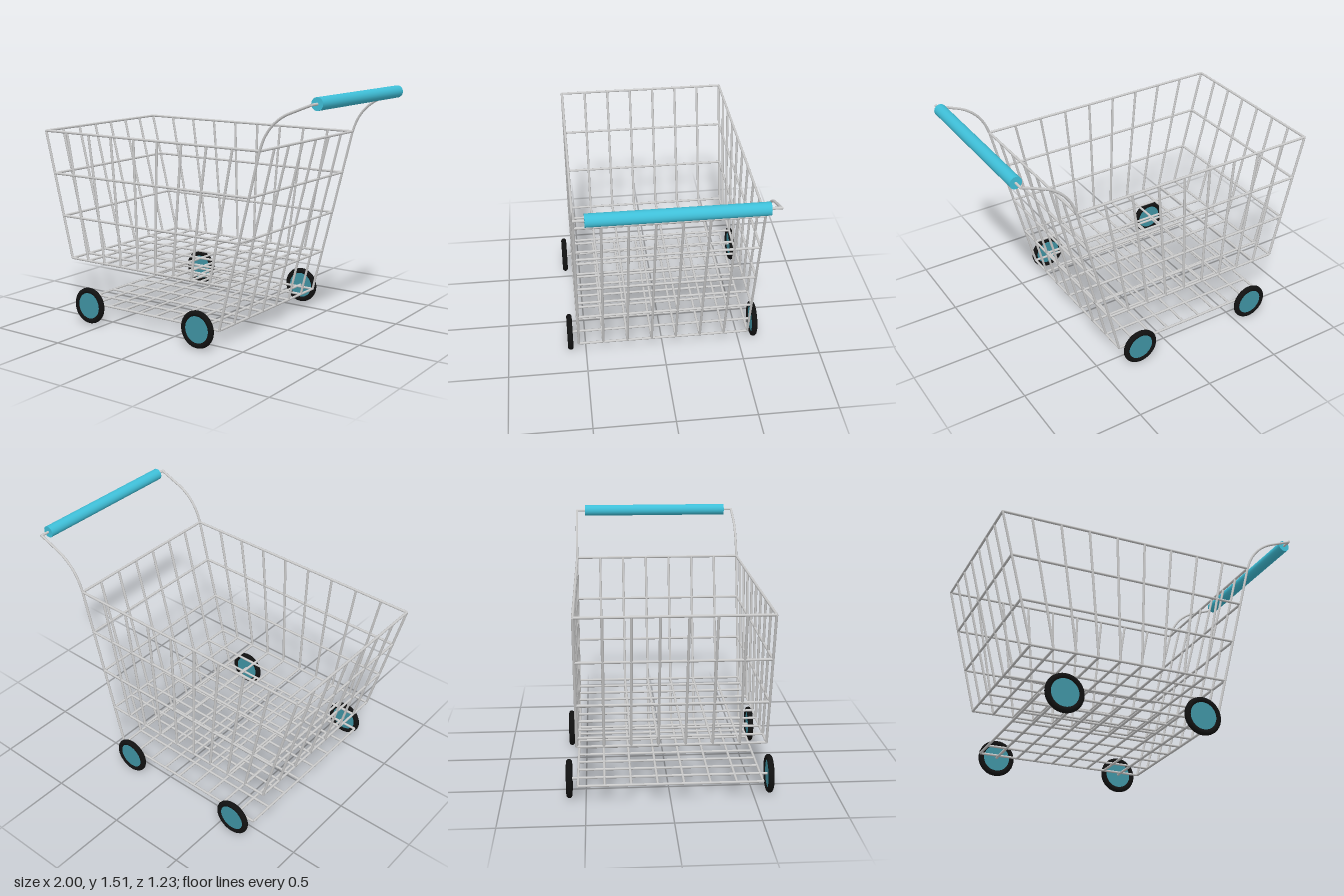
import * as THREE from 'three';

const WIRE = 0.008, HALF_Z = 0.545;
const DECK_Y = 0.117, FLOOR_Y = 0.39, RIM_Y = 1.2;
const LONG = 10, ACROSS = 8; // wire counts along x and along z
const AXLES = [-0.603, 0.243];

const metal = new THREE.MeshStandardMaterial({ color: 0xcccccc });
const blue = new THREE.MeshStandardMaterial({ color: 0x3fbfd8 });
const hubBlue = new THREE.MeshStandardMaterial({ color: 0x3f93a3 });
const rubber = new THREE.MeshStandardMaterial({ color: 0x111111 });

const lerp = THREE.MathUtils.lerp;
const v = (x, y, z) => new THREE.Vector3(x, y, z);

// Slopes of the two ends, as x at a given height
const frontX = (y) => lerp(-0.79, -0.991, (y - FLOOR_Y) / (RIM_Y - FLOOR_Y));
const backX = (y) => lerp(0.363, 0.635, (y - DECK_Y) / (RIM_Y - DECK_Y));

function createModel() {
  const cart = new THREE.Group();
  cart.name = 'shoppingCart';

  const group = (name) => {
    const g = new THREE.Group();
    g.name = name;
    cart.add(g);
    return g;
  };

  // Round rod between two points
  const rod = (parent, name, a, b, radius = WIRE, material = metal, sides = 8) => {
    const dir = b.clone().sub(a);
    const mesh = new THREE.Mesh(new THREE.CylinderGeometry(radius, radius, dir.length(), sides), material);
    mesh.position.copy(a).add(b).multiplyScalar(0.5);
    mesh.quaternion.setFromUnitVectors(v(0, 1, 0), dir.normalize());
    mesh.name = name;
    parent.add(mesh);
    return mesh;
  };

  // Horizontal rings of the basket
  const basket = group('basket');
  for (let i = 0; i < 4; i++) {
    const y = lerp(FLOOR_Y, RIM_Y, i / 3), f = frontX(y), b = backX(y);
    for (const z of [-HALF_Z, HALF_Z]) rod(basket, 'sideRail', v(f, y, z), v(b, y, z));
    for (const x of [f, b]) rod(basket, 'endRail', v(x, y, -HALF_Z), v(x, y, HALF_Z));
  }

  // Fanned side wires, with floor wires joining their feet
  for (let i = 0; i < LONG; i++) {
    const t = i / (LONG - 1);
    const top = lerp(frontX(RIM_Y), backX(RIM_Y), t);
    const foot = lerp(frontX(FLOOR_Y), backX(FLOOR_Y), t);
    if (i > 0 && i < LONG - 1) {
      for (const z of [-HALF_Z, HALF_Z]) rod(basket, 'sideWire', v(foot, FLOOR_Y, z), v(top, RIM_Y, z));
      rod(basket, 'floorCrossWire', v(foot, FLOOR_Y, -HALF_Z), v(foot, FLOOR_Y, HALF_Z));
    }
  }

  // Wires running over the front end, the floor, the back end and the lower deck
  const deck = group('lowerDeck');
  const deckFront = -0.723, deckBack = backX(DECK_Y);
  for (let i = 0; i < ACROSS; i++) {
    const z = lerp(-HALF_Z, HALF_Z, i / (ACROSS - 1));
    rod(basket, 'frontWire', v(frontX(FLOOR_Y), FLOOR_Y, z), v(frontX(RIM_Y), RIM_Y, z));
    rod(basket, 'backWire', v(deckBack, DECK_Y, z), v(backX(RIM_Y), RIM_Y, z));
    if (i > 0 && i < ACROSS - 1) {
      rod(basket, 'floorWire', v(frontX(FLOOR_Y), FLOOR_Y, z), v(backX(FLOOR_Y), FLOOR_Y, z));
    }
    rod(deck, 'deckWire', v(deckFront, DECK_Y, z), v(deckBack, DECK_Y, z));
  }
  for (let i = 0; i < LONG; i++) {
    const x = lerp(deckFront, deckBack, i / (LONG - 1));
    rod(deck, 'deckCrossWire', v(x, DECK_Y, -HALF_Z), v(x, DECK_Y, HALF_Z));
  }

  // Handle: two bent arms, a crossbar and a grip
  const handle = group('handle');
  const gripX = 0.962, gripY = 1.473;
  const bend = [[0.635, 1.2], [0.665, 1.275], [0.715, 1.345], [0.785, 1.4], [0.87, 1.437], [gripX, gripY]];
  for (const z of [-HALF_Z, HALF_Z]) {
    const path = new THREE.CatmullRomCurve3(bend.map(([x, y]) => v(x, y, z)));
    const arm = new THREE.Mesh(new THREE.TubeGeometry(path, 24, WIRE, 8), metal);
    arm.name = 'handleArm';
    handle.add(arm);
  }
  rod(handle, 'handleBar', v(gripX, gripY, -HALF_Z - WIRE), v(gripX, gripY, HALF_Z + WIRE));
  rod(handle, 'grip', v(gripX, gripY, -0.49), v(gripX, gripY, 0.49), 0.037, blue, 24);

  // Wheels on their axles
  const wheels = group('wheels');
  const wheelZ = 0.598;
  for (const x of AXLES) {
    rod(wheels, 'axle', v(x, DECK_Y, -wheelZ), v(x, DECK_Y, wheelZ));
    for (const z of [-wheelZ, wheelZ]) {
      const tyre = new THREE.Mesh(new THREE.TorusGeometry(0.098, 0.018, 14, 40), rubber);
      tyre.position.set(x, 0.116, z);
      tyre.name = 'tyre';
      wheels.add(tyre);
      rod(wheels, 'hub', v(x, 0.116, z - 0.009), v(x, 0.116, z + 0.009), 0.09, hubBlue, 40);
    }
  }
  return cart;
}

export { createModel };
